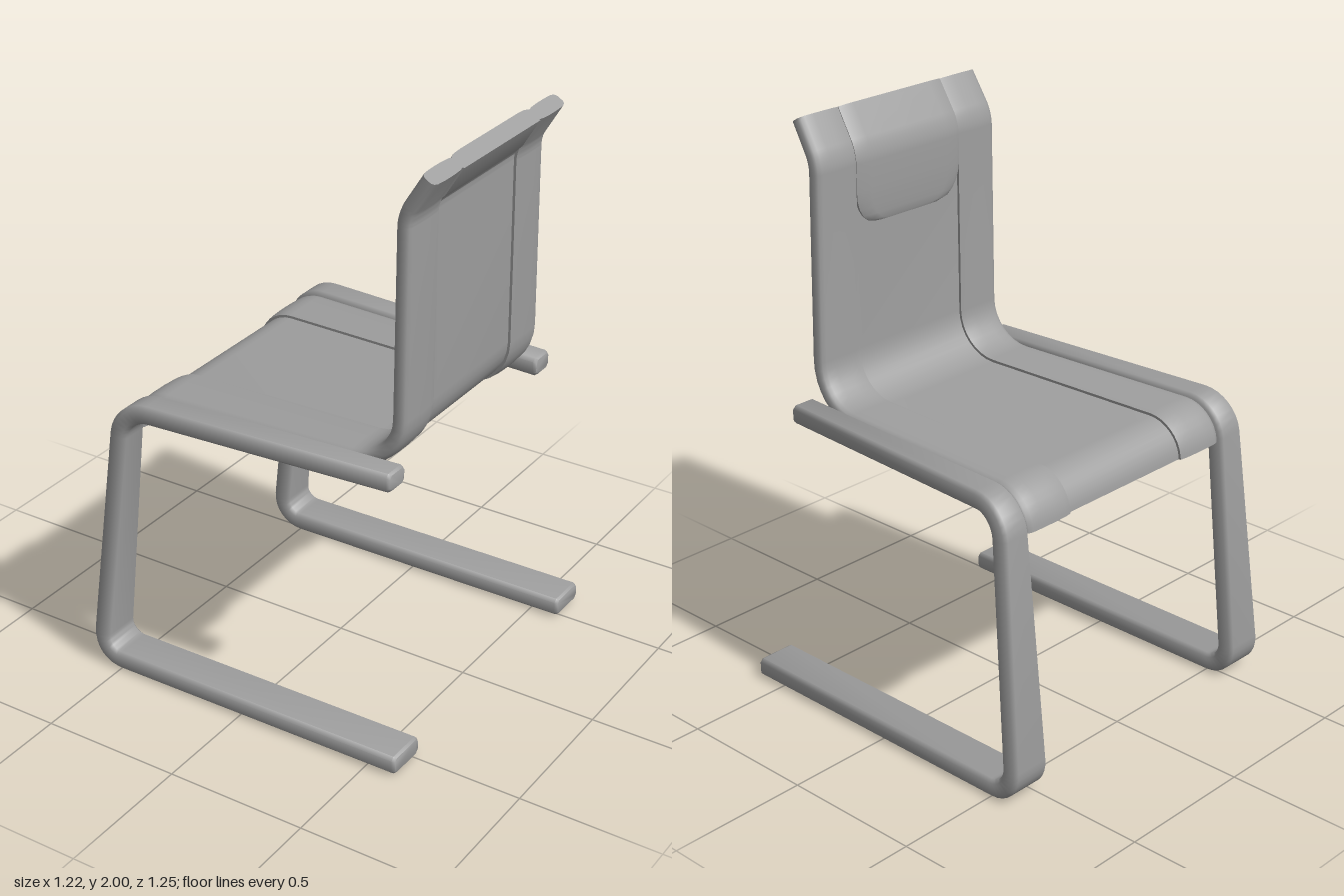
import * as THREE from 'three';
import { toCreasedNormals } from 'three/addons/utils/BufferGeometryUtils.js';

const material = new THREE.MeshStandardMaterial({ color: 0x9e9e9e });
const V = (x, y) => new THREE.Vector2(x, y);

// Polyline with rounded corners: each corner is [x, y, tangentLength]
function roundedPath(corners, steps = 8) {
  const last = corners.length - 1;
  const pts = [];
  corners.forEach(([x, y, r], i) => {
    const c = V(x, y);
    const toward = (k, d) => c.clone().add(V(corners[k][0], corners[k][1]).sub(c).setLength(d));
    if (i === 0) {
      // an extra point near each end leaves room for a bevelled tip
      pts.push(c, toward(1, 0.01));
    } else if (i === last) {
      pts.push(toward(last - 1, 0.01), c);
    } else {
      const bend = new THREE.CubicBezierCurve(
        toward(i - 1, r), toward(i - 1, r * 0.45), toward(i + 1, r * 0.45), toward(i + 1, r));
      pts.push(...bend.getPoints(steps));
    }
  });
  return pts;
}

// Sweep a section of [offset along the path normal, z] points along a path in the xy plane
function sweep(path, section) {
  const pos = [], idx = [];
  const last = path.length - 1;
  let m = 0;
  path.forEach((p, i) => {
    const t = path[Math.min(i + 1, last)].clone().sub(path[Math.max(i - 1, 0)]).normalize();
    const ring = section(p, i === 0 || i === last);
    if (THREE.ShapeUtils.area(ring.map(([o, z]) => V(o, z))) < 0) ring.reverse();
    m = ring.length;
    ring.forEach(([o, z]) => pos.push(p.x - t.y * o, p.y + t.x * o, z));
  });
  for (let i = 0; i < last; i++) {
    for (let j = 0; j < m; j++) {
      const a = i * m + j, b = i * m + (j + 1) % m;
      idx.push(a, b, b + m, a, b + m, a + m);
    }
  }
  for (let j = 1; j < m - 1; j++) {
    idx.push(0, j + 1, j, last * m, last * m + j, last * m + j + 1);
  }
  const g = new THREE.BufferGeometry();
  g.setAttribute('position', new THREE.Float32BufferAttribute(pos, 3));
  g.setIndex(idx);
  return toCreasedNormals(g, 1);
}

// Rectangle with chamfered corners, shaded as one soft section
function chamferedRect(h, z0, z1, r) {
  return [
    [h, z0 + r], [h, z1 - r], [h - r, z1], [r - h, z1],
    [-h, z1 - r], [-h, z0 + r], [r - h, z0], [h - r, z0],
  ];
}

// Cantilever frame line: arm, front leg, floor runner
const framePath = roundedPath([
  [0.51, 1.0], [-0.488, 1.0, 0.1], [-0.589, 0.035, 0.09], [0.61, 0.041],
]);

// Seat and back line: front lip, seat, backrest, tilted top
const shellPath = roundedPath([
  [-0.498, 0.89], [-0.486, 1.0, 0.1], [0.482, 1.0, 0.17], [0.482, 1.85, 0.035], [0.562, 1.981],
]);

// The shell narrows toward the back and the top
const innerZ = p => 0.273 - 0.027 * (p.x + 0.5) - 0.01 * (p.y - 1);
const outerZ = p => 0.474 - 0.05 * (p.x + 0.5) - 0.016 * Math.max(0, p.y - 1);

// Half section of a side bolster: [fraction from inner to outer edge, half thickness]
const bolsterProfile = [
  [0, 0.022], [0.12, 0.026], [0.35, 0.028], [0.65, 0.028], [0.88, 0.026], [0.96, 0.021], [1, 0.012],
];

function frameSection(side) {
  return (p, tip) => {
    const along = p.y > 0.5 ? Math.max(0, p.x + 0.5) : 0;
    const inset = tip ? 0.006 : 0;
    const inner = 0.474 - 0.054 * along + inset;
    const outer = 0.629 - 0.049 * p.y - 0.064 * along - inset;
    return chamferedRect(0.033 - inset, inner, outer, 0.012).map(([o, z]) => [o, side * z]);
  };
}

function bolsterSection(side) {
  return p => {
    const a = innerZ(p), b = outerZ(p);
    const top = bolsterProfile.map(([u, h]) => [h, side * (a + (b - a) * u)]);
    const bottom = top.map(([o, z]) => [-o, z]).reverse();
    return [...top, ...bottom];
  };
}

export function createModel() {
  const model = new THREE.Group();
  const add = (name, geometry) => {
    const mesh = new THREE.Mesh(geometry, material);
    mesh.name = name;
    model.add(mesh);
  };

  // Frames and padded bolsters on both sides
  for (const [side, label] of [[1, 'left'], [-1, 'right']]) {
    add(`${label}Frame`, sweep(framePath, frameSection(side)));
    add(`${label}Bolster`, sweep(shellPath, bolsterSection(side)));
  }

  // Thin panel between the bolsters
  add('seatAndBackPanel', sweep(shellPath, p => {
    const z = innerZ(p) + 0.01;
    return [[-0.013, -z], [0.013, -z], [0.013, z], [-0.013, z]];
  }));

  // Headrest pad with rounded lower corners, wrapping the tilted top
  const lower = [0, 0.01, 0.03, 0.055, 0.085, 0.12].map(d => V(0.482, 1.6 + d));
  const headPath = [...lower, ...shellPath.filter(p => p.y > 1.74)];
  add('headrest', sweep(headPath, p => {
    const k = Math.min(1, (p.y - 1.6) / 0.12);
    const z = innerZ(p) - 0.09 * (1 - Math.sqrt(1 - (1 - k) ** 2));
    const front = 0.022 + 0.01 * Math.sqrt(k);
    const back = -THREE.MathUtils.mapLinear(THREE.MathUtils.clamp(p.y, 1.83, 1.88), 1.83, 1.88, 0.01, 0.027);
    return [[back, -z], [front - 0.008, -z], [front - 0.002, -z + 0.02], [front, -z + 0.06],
      [front, z - 0.06], [front - 0.002, z - 0.02], [front - 0.008, z], [back, z]];
  }));

  return model;
}
